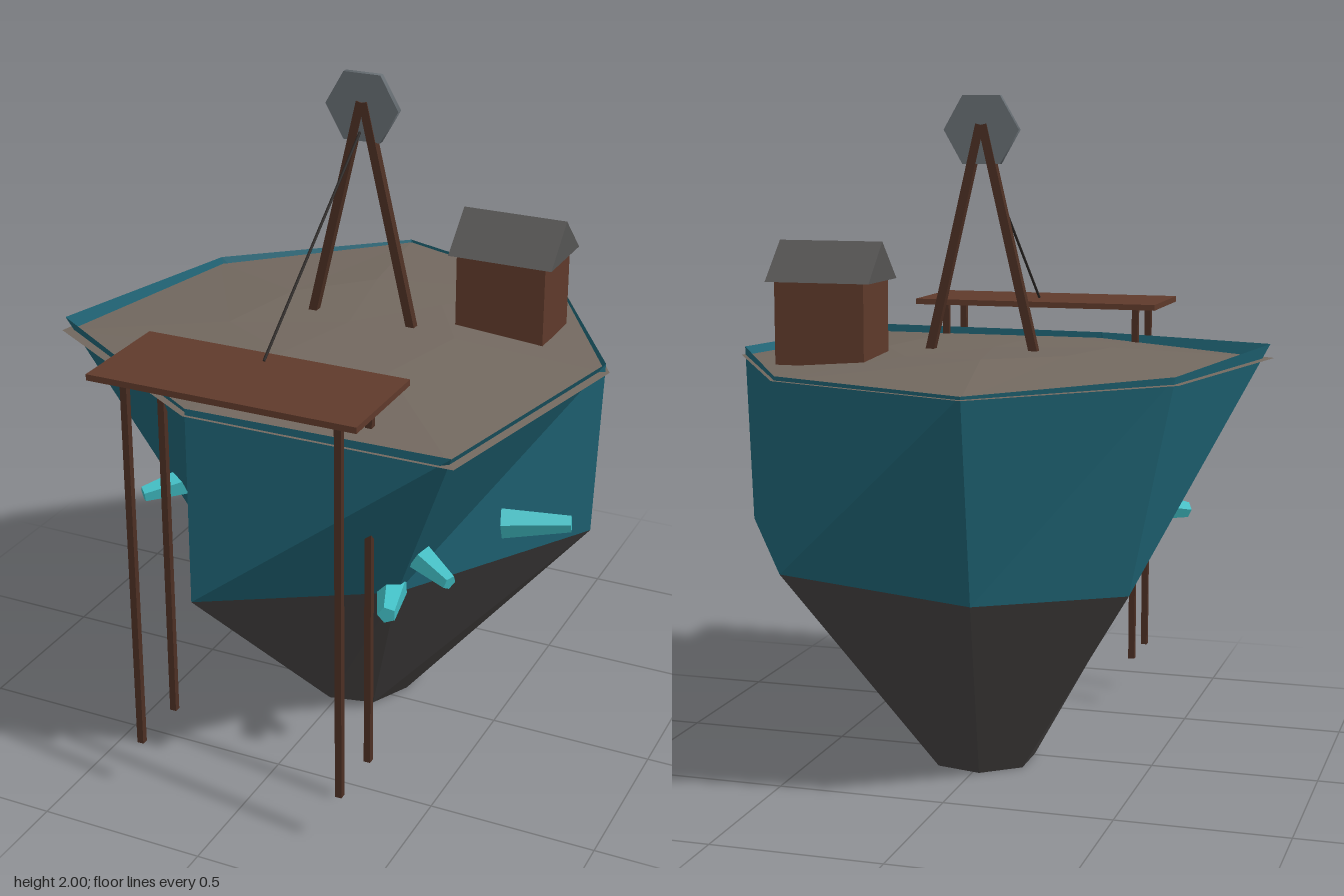
import * as THREE from 'three';

const mat = (name, color, extra = {}) => {
  const m = new THREE.MeshStandardMaterial({ color, ...extra });
  m.name = name;
  return m;
};

// Flat-faced strip between two closed rings (lower, upper)
function band(lower, upper, out = []) {
  lower.forEach((a, i) => {
    const j = (i + 1) % lower.length;
    out.push(...a, ...upper[i], ...lower[j], ...upper[i], ...upper[j], ...lower[j]);
  });
  return out;
}

// Fan closing a ring, facing up or down
function fan(ring, centre, up, out = []) {
  ring.forEach((a, i) => {
    const b = ring[(i + 1) % ring.length];
    out.push(...centre, ...(up ? b : a), ...(up ? a : b));
  });
  return out;
}

function facets(points) {
  const g = new THREE.BufferGeometry();
  g.setAttribute('position', new THREE.Float32BufferAttribute(points, 3));
  g.computeVertexNormals();
  return g;
}

export function createModel() {
  const root = new THREE.Group();
  root.name = 'floatingMineIsland';

  const teal = mat('tealRock', 0x1f6475, { side: THREE.DoubleSide });
  const rock = mat('darkRock', 0x454241);
  const ground = mat('ground', 0x72685f, { side: THREE.DoubleSide });
  const wood = mat('wood', 0x5f3a2b);
  const darkWood = mat('darkWood', 0x4c2f23);
  const roofGrey = mat('roofGrey', 0x555453);
  const metal = mat('metal', 0x666d72);
  const crystal = mat('crystal', 0x40bcc2, { flatShading: true });
  const cableMat = mat('cable', 0x2a2624);

  const add = (name, geo, material, x = 0, y = 0, z = 0, parent = root) => {
    const m = new THREE.Mesh(geo, material);
    m.name = name;
    m.position.set(x, y, z);
    parent.add(m);
    return m;
  };
  const box = (name, w, h, d, material, x, y, z, parent) =>
    add(name, new THREE.BoxGeometry(w, h, d), material, x, y, z, parent);
  // Part stretched along +y between two points
  const between = (name, geo, material, a, b) => {
    const A = new THREE.Vector3(...a), B = new THREE.Vector3(...b);
    const m = add(name, geo(A.distanceTo(B)), material);
    m.position.copy(A).lerp(B, 0.5);
    m.quaternion.setFromUnitVectors(new THREE.Vector3(0, 1, 0), B.sub(A).normalize());
    return m;
  };

  // Island rock: seven-sided rings
  const top = [[0.78, 1.238, -0.06], [0.622, 1.238, 0.705], [-0.16, 1.232, 0.71], [-0.782, 1.255, 0.325],
    [-0.635, 1.235, -0.38], [-0.16, 1.222, -0.83], [0.455, 1.225, -0.605]];
  const mid = [[0.76, 0.70, -0.06], [0.31, 0.58, 0.33], [-0.16, 0.63, 0.71], [-0.46, 0.63, 0.19],
    [-0.49, 0.59, -0.29], [-0.12, 0.61, -0.62], [0.45, 0.66, -0.60]];
  const base = mid.map((_, i) => {
    const t = (i / 7) * Math.PI * 2;
    return [0.015 + 0.162 * Math.cos(t), 0, -0.06 + 0.162 * Math.sin(t)];
  });
  add('upperRock', facets(band(mid, top)), teal);
  add('lowerRock', facets(fan(base, [0.015, 0, -0.06], false, band(base, mid))), rock);

  // Gently domed ground
  const rim = top.map(([x, , z]) => [x * 1.015, 1.212, z * 1.012]);
  const inner = top.map(([x, , z], i) => [x * 0.42, 1.25 + 0.005 * (i % 3), z * 0.42]);
  add('ground', facets(fan(inner, [0, 1.255, 0], true, band(rim, inner))), ground);

  // Headframe: two leaning legs, a six-sided wheel and a cable
  for (const s of [-1, 1]) {
    between(s < 0 ? 'rightLeg' : 'leftLeg', (l) => new THREE.BoxGeometry(0.026, l, 0.026), darkWood,
      [0.018 + s * 0.165, 1.23, -0.055], [0.018 + s * 0.004, 1.915, -0.055]);
  }
  const wheelGeo = new THREE.CylinderGeometry(0.115, 0.115, 0.019, 6, 1, false, Math.PI / 2);
  wheelGeo.rotateX(Math.PI / 2);
  add('wheel', wheelGeo.toNonIndexed(), metal, 0.018, 1.9, -0.055);
  between('cable', (l) => new THREE.CylinderGeometry(0.004, 0.004, l, 6), cableMat,
    [0.018, 1.83, -0.035], [0.018, 1.355, 0.58]);

  // Landing deck on four posts
  const dock = new THREE.Group();
  dock.name = 'dock';
  root.add(dock);
  box('deck', 0.8, 0.018, 0.338, wood, 0.018, 1.337, 0.676, dock);
  for (const x of [-0.302, 0.338]) {
    for (const z of [0.78, 0.588]) box('post', 0.02, 1.165, 0.02, darkWood, x, 0.748, z, dock);
  }

  // Hut with gabled roof
  const hut = new THREE.Group();
  hut.name = 'hut';
  root.add(hut);
  box('hutWalls', 0.275, 0.245, 0.21, wood, 0.424, 1.345, -0.236, hut);
  const gable = new THREE.Shape([[-0.12, 0], [0.12, 0], [0, 0.115]].map((p) => new THREE.Vector2(...p)));
  const roofGeo = new THREE.ExtrudeGeometry(gable, { depth: 0.32, bevelEnabled: false });
  roofGeo.translate(0, 0, -0.16).rotateY(Math.PI / 2);
  add('roof', roofGeo, roofGrey, 0.424, 1.465, -0.238, hut);

  // Crystals growing out of the rock: root and tip
  const shards = [
    [[0.59, 0.825, 0.23], [0.78, 0.84, 0.18], 0.046],
    [[0.40, 0.735, 0.37], [0.51, 0.705, 0.42], 0.042],
    [[0.29, 0.60, 0.31], [0.34, 0.585, 0.47], 0.05],
    [[-0.43, 0.75, 0.24], [-0.53, 0.725, 0.34], 0.044],
  ];
  for (const [a, b, r] of shards) {
    between('crystal', (l) => new THREE.CylinderGeometry(r * 0.55, r, l, 5), crystal, a, b);
  }

  return root;
}
